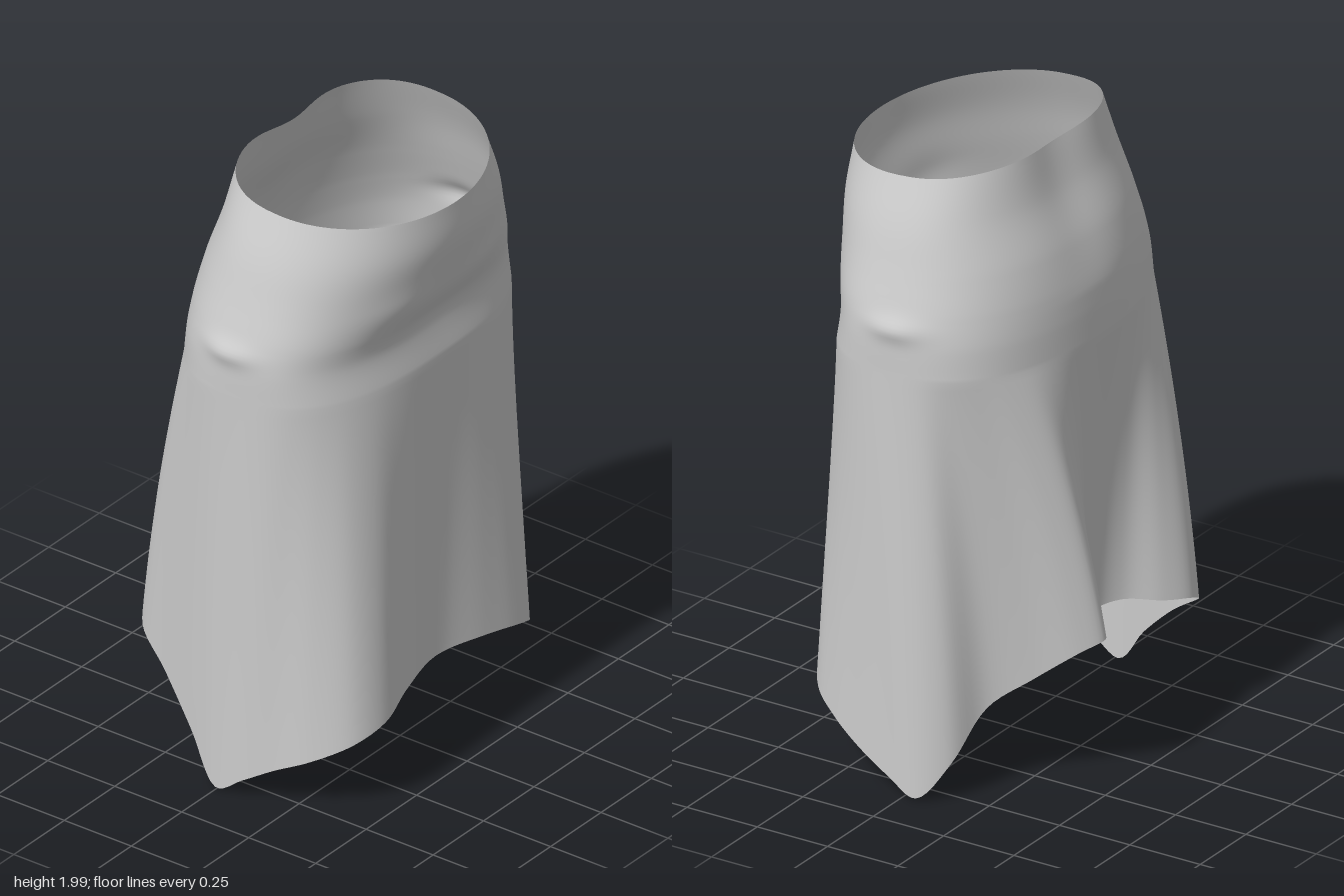
import * as THREE from 'three';

const COLS = 174, TOP_ROWS = 40, LOWER_ROWS = 40;
const V = (x, y, z) => new THREE.Vector3(x, y, z);

// Hem outline [x, z, y], from the front centre round by +x
const hem = new THREE.CatmullRomCurve3([
  [0, .385, .33], [.2, .42, .32], [.37, .43, .285], [.475, .375, .23], [.535, .28, .18],
  [.57, .17, .12], [.59, .05, .06], [.595, -.05, .015], [.54, -.14, .13], [.42, -.19, .28],
  [.34, -.3, .37], [.27, -.42, .46], [.2, -.468, .49], [.12, -.39, .47], [.05, -.3, .45],
  [-.05, -.28, .45], [-.14, -.315, .45], [-.23, -.395, .43], [-.33, -.435, .41], [-.42, -.395, .36],
  [-.475, -.27, .27], [-.53, -.13, .14], [-.572, -.01, .005], [-.58, .1, .07], [-.565, .2, .13],
  [-.535, .32, .19], [-.46, .425, .25], [-.35, .46, .29], [-.2, .425, .32],
].map(([x, z, y]) => V(x, y, z)), true);

// Waist-to-hip rings: height, half width, back z, front z, back and front roundness
const rings = [
  [2.00, .430, -.192, .460, .82, 1],
  [1.85, .488, -.225, .462, .86, .95],
  [1.70, .532, -.278, .436, .88, .88],
  [1.58, .566, -.305, .412, .88, .82],
  [1.48, .583, -.316, .390, .86, .77],
  [1.38, .583, -.322, .405, .84, .74],
];
const sizeCurve = new THREE.CatmullRomCurve3(rings.map(r => V(r[1], r[2], r[3])));
const shapeCurve = new THREE.CatmullRomCurve3(rings.map(r => V(r[0], r[4], r[5])));

const bump = (dx, dy, w, h) => Math.exp(-((dx / w) ** 2) - (dy / h) ** 2);
const power = (v, p) => Math.sign(v) * Math.abs(v) ** p;

// Point on the fitted upper part; v runs from the waist (0) to the hip (1)
function upperPoint(u, v) {
  const t = u * Math.PI * 2, s = Math.sin(t), c = Math.cos(t);
  const size = sizeCurve.getPoint(v), shape = shapeCurve.getPoint(v);
  const mid = .1 - .05 * v;
  const p = V(0, shape.x, 0);
  p.x = size.x * power(s, c > 0 ? shape.z : shape.y);
  p.z = c > 0 ? mid + (size.z - mid) * power(c, shape.z)
    : mid + (mid - size.y) * power(c, shape.y);

  // Waist edge dips at the front and slightly at the back
  const fade = Math.max(0, 1 - v * 1.5);
  const back = c < 0 ? bump(p.x - .02, 0, .14, 1) : 0;
  p.y -= fade * (.035 * (1 + c) + .015 * back);
  p.z += fade * .03 * back;

  // Soft folds across the front
  if (c > 0) {
    p.z += .008 * (bump(p.x - .2, p.y - 1.64, .14, .06) + bump(p.x + .2, p.y - 1.64, .14, .06));
    p.z -= .01 * bump(p.x, p.y - 1.54, .22, .05);
  }
  // Small pinches at the hips
  p.x += Math.sign(s) * .018 * bump(p.z - .04, p.y - 1.53, .09, .035);
  return p;
}

// Lower part falls from the hip to the wavy hem, folds opening just below the hip
function skirtPoint(u, row) {
  if (row <= TOP_ROWS) return upperPoint(u, row / TOP_ROWS);
  const s = (row - TOP_ROWS) / LOWER_ROWS;
  const hip = upperPoint(u, 1), end = hem.getPoint(u);
  const spread = s + (end.z < 0 ? .4 : .1) * s * (1 - s);
  return V(THREE.MathUtils.lerp(hip.x, end.x, spread),
    THREE.MathUtils.lerp(hip.y, end.y, s),
    THREE.MathUtils.lerp(hip.z, end.z, spread));
}

export function createModel() {
  const positions = [], index = [], rows = TOP_ROWS + LOWER_ROWS;
  for (let r = 0; r <= rows; r++) {
    for (let c = 0; c < COLS; c++) {
      positions.push(...skirtPoint(c / COLS, r).toArray());
      if (r === rows) continue;
      const next = (c + 1) % COLS;
      const a = r * COLS + c, d = r * COLS + next;
      index.push(a, a + COLS, d, a + COLS, d + COLS, d);
    }
  }
  const geometry = new THREE.BufferGeometry();
  geometry.setAttribute('position', new THREE.Float32BufferAttribute(positions, 3));
  geometry.setIndex(index);
  geometry.computeVertexNormals();

  const skirt = new THREE.Mesh(geometry,
    new THREE.MeshStandardMaterial({ color: 0xcccccc, side: THREE.DoubleSide }));
  skirt.name = 'skirt';
  const model = new THREE.Group();
  model.name = 'drapedSkirt';
  model.add(skirt);
  return model;
}
